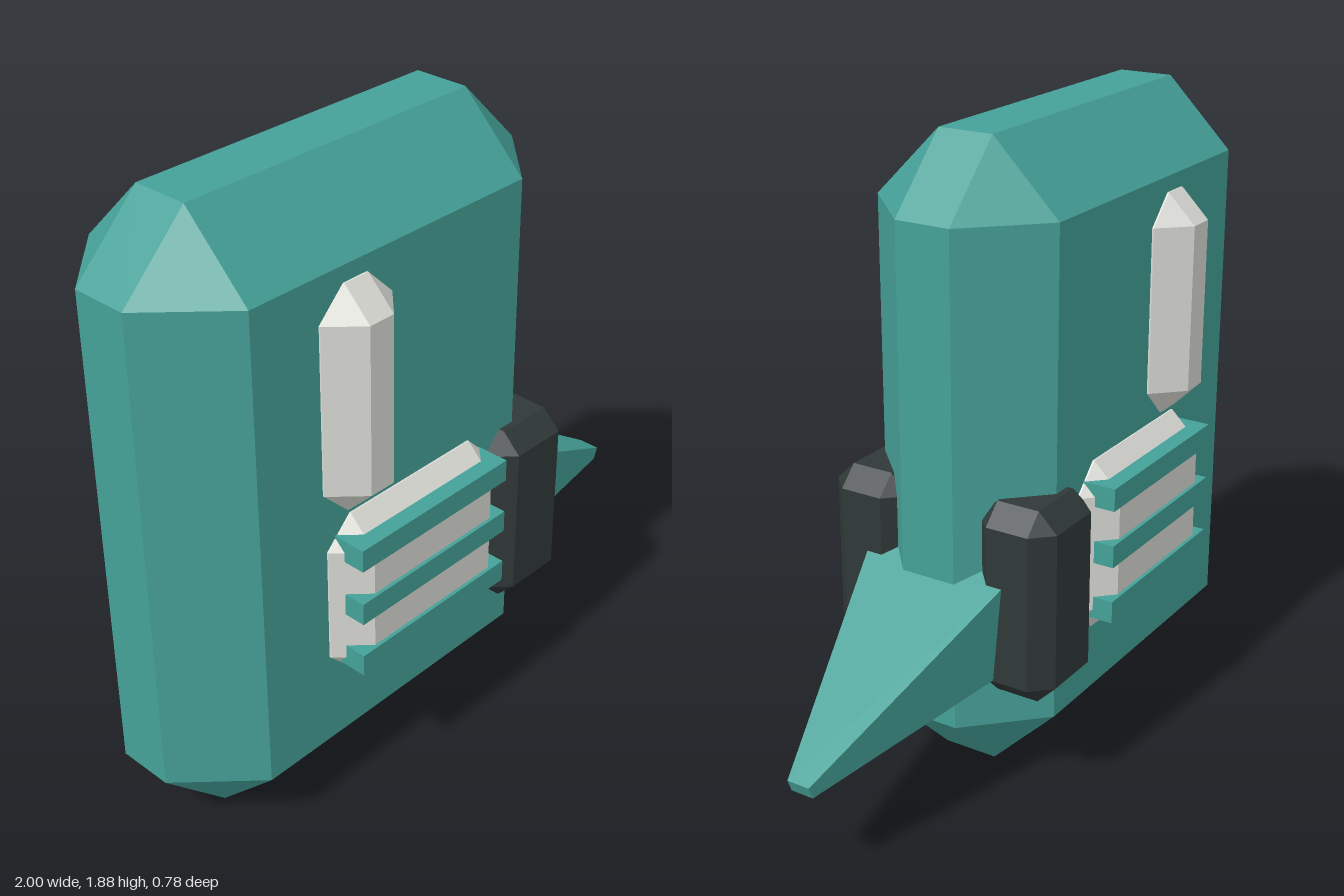
import * as THREE from 'three';
import { ConvexGeometry } from 'three/addons/geometries/ConvexGeometry.js';

// Box between two corners with every edge cut at 45 degrees by c
function chamferBox([x0, y0, z0], [x1, y1, z1], c) {
  const hx = (x1 - x0) / 2, hy = (y1 - y0) / 2, hz = (z1 - z0) / 2;
  const pts = [];
  for (const a of [-1, 1]) for (const b of [-1, 1]) for (const d of [-1, 1]) {
    pts.push(
      new THREE.Vector3(a * hx, b * (hy - c), d * (hz - c)),
      new THREE.Vector3(a * (hx - c), b * hy, d * (hz - c)),
      new THREE.Vector3(a * (hx - c), b * (hy - c), d * hz));
  }
  return new ConvexGeometry(pts).translate((x0 + x1) / 2, (y0 + y1) / 2, (z0 + z1) / 2);
}

export function createModel() {
  const model = new THREE.Group();
  const material = (name, color) => {
    const m = new THREE.MeshStandardMaterial({ color });
    m.name = name;
    return m;
  };
  const teal = material('teal', 0x45a198);
  const paleGrey = material('paleGrey', 0xdadad5);
  const charcoal = material('charcoal', 0x303838);

  const add = (name, geometry, mat) => {
    const mesh = new THREE.Mesh(geometry, mat);
    mesh.name = name;
    model.add(mesh);
  };

  // Slab body
  add('body', chamferBox([-1, 0, -0.29], [0.4, 1.875, 0.29], 0.205), teal);

  // Pale inserts running through the body, showing on both sides
  add('upperInsert', chamferBox([-0.572, 0.952, -0.381], [-0.316, 1.623, 0.381], 0.086), paleGrey);
  add('lowerInsert', chamferBox([-0.562, 0.412, -0.381], [0.084, 0.938, 0.381], 0.086), paleGrey);

  // Bars across the lower insert
  for (const y of [0.506, 0.682, 0.857]) {
    add('bar', new THREE.BoxGeometry(0.582, 0.068, 0.784).translate(-0.241, y, 0), teal);
  }

  // Dark blocks either side of the beak
  const eye = () => chamferBox([0.08, 0.324, 0.119], [0.377, 0.908, 0.367], 0.058);
  add('leftBlock', eye().translate(0, 0, -0.486), charcoal);
  add('rightBlock', eye(), charcoal);

  // Tapered beak, sloping down: [x, y, half width] of its base and tip edges
  const beakEdges = [[0.339, 0.698, 0.238], [0.234, 0.41, 0.238], [0.997, 0.318, 0.035], [0.982, 0.28, 0.035]];
  add('beak', new ConvexGeometry(beakEdges.flatMap(([x, y, w]) =>
    [new THREE.Vector3(x, y, w), new THREE.Vector3(x, y, -w)])), teal);

  return model;
}
